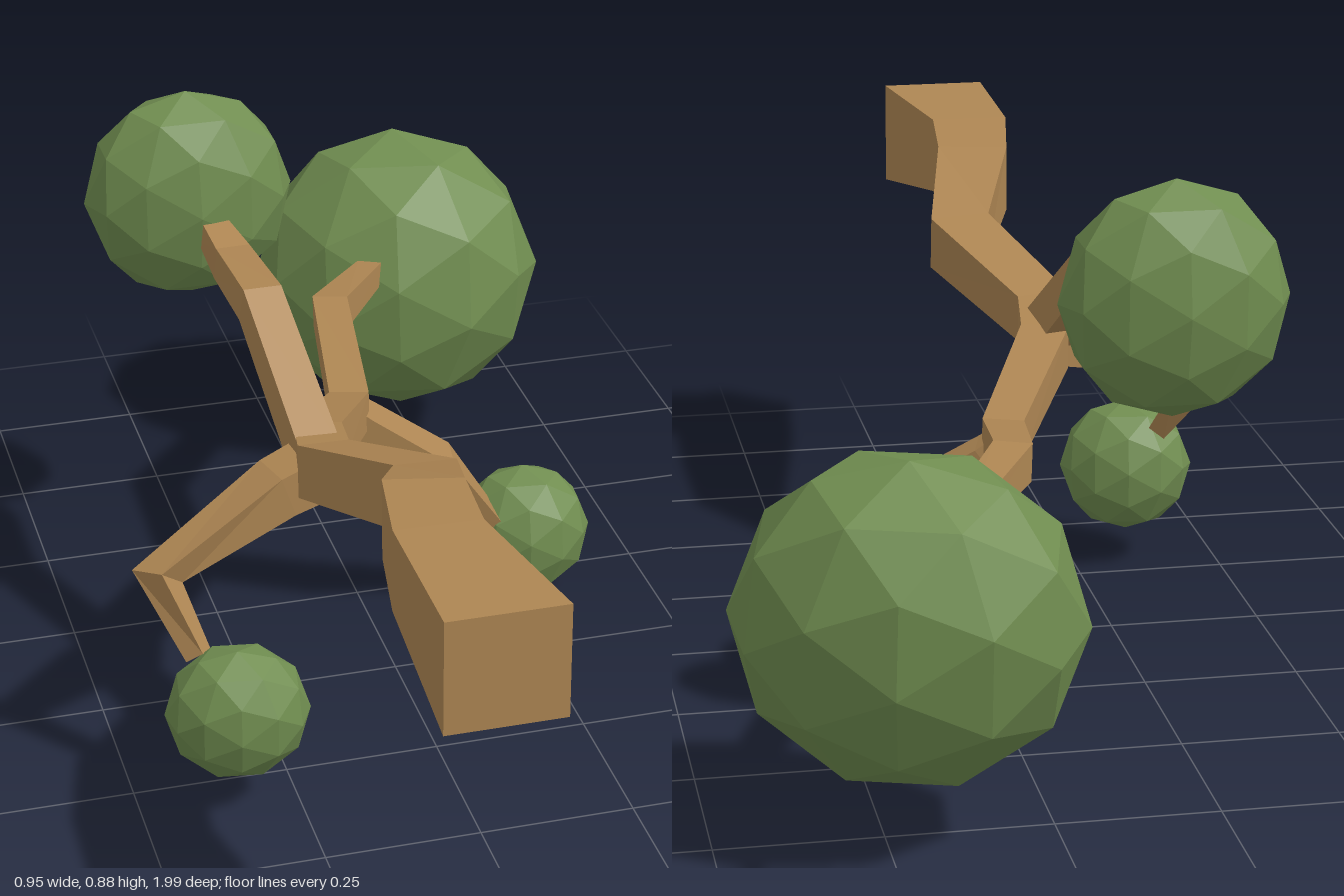
import * as THREE from 'three';

const bark = new THREE.MeshStandardMaterial({ color: 0xae8653, flatShading: true });
const leaf = new THREE.MeshStandardMaterial({ color: 0x708d50, flatShading: true });

// Square-section limb lofted through [x, y, z, width] points
function limb(name, points, firstTangent) {
  const centres = points.map(p => new THREE.Vector3(p[0], p[1], p[2]));
  const top = new THREE.Vector3(0, 1, 0);
  const last = points.length - 1;
  const positions = [], index = [];
  centres.forEach((c, i) => {
    const before = i > 0 ? c.clone().sub(centres[i - 1]).normalize() : new THREE.Vector3();
    const after = i < last ? centres[i + 1].clone().sub(c).normalize() : new THREE.Vector3();
    const t = i === 0 && firstTangent ? firstTangent : before.add(after).normalize();
    // Carry the frame along the limb so it does not twist
    top.addScaledVector(t, -top.dot(t)).normalize();
    const side = t.clone().cross(top);
    const h = points[i][3] / 2;
    for (const [a, b] of [[-1, -1], [1, -1], [1, 1], [-1, 1]]) {
      const v = c.clone().addScaledVector(side, a * h).addScaledVector(top, b * h);
      positions.push(v.x, v.y, v.z);
    }
    if (i === 0) return;
    for (let k = 0; k < 4; k++) {
      const a = (i - 1) * 4 + k, b = (i - 1) * 4 + (k + 1) % 4;
      index.push(a, b + 4, b, a, a + 4, b + 4);
    }
  });
  // End caps
  const e = last * 4;
  index.push(0, 1, 2, 0, 2, 3, e, e + 2, e + 1, e, e + 3, e + 2);
  const geometry = new THREE.BufferGeometry();
  geometry.setAttribute('position', new THREE.Float32BufferAttribute(positions, 3));
  geometry.setIndex(index);
  const flat = geometry.toNonIndexed();
  flat.computeVertexNormals();
  const mesh = new THREE.Mesh(flat, bark);
  mesh.name = name;
  return mesh;
}

// Flattened low-poly leaf clump whose short axis points along `axis`
function clump(name, centre, radii, axis) {
  const mesh = new THREE.Mesh(new THREE.IcosahedronGeometry(1.02, 1), leaf);
  mesh.name = name;
  mesh.position.set(...centre);
  mesh.scale.set(...radii);
  mesh.quaternion.setFromUnitVectors(
    new THREE.Vector3(0, 0, 1), new THREE.Vector3(...axis).normalize());
  return mesh;
}

export function createModel() {
  const group = new THREE.Group();
  group.name = 'treeBranch';

  // Main bough, thick end at the front
  group.add(limb('mainBough', [
    [-0.118, 0.62, 0.993, 0.18],
    [-0.14, 0.637, 0.73, 0.132],
    [-0.12, 0.63, 0.585, 0.12],
    [-0.065, 0.565, 0.41, 0.1],
    [-0.163, 0.495, 0.17, 0.085],
    [-0.145, 0.475, 0.06, 0.078],
    [-0.03, 0.4, -0.18, 0.066],
    [0.005, 0.453, -0.44, 0.06],
    [0.13, 0.42, -0.64, 0.042],
  ], new THREE.Vector3(0, 0, -1)));

  // Side branches
  group.add(limb('upperBranch', [
    [-0.16, 0.475, 0.13, 0.07],
    [-0.195, 0.655, -0.11, 0.064],
    [-0.2, 0.645, -0.29, 0.058],
    [-0.215, 0.67, -0.37, 0.045],
  ]));
  group.add(limb('rightBranch', [
    [-0.15, 0.475, 0.12, 0.08],
    [-0.23, 0.455, 0.14, 0.074],
    [-0.438, 0.358, 0.195, 0.058],
    [-0.392, 0.25, 0.27, 0.032],
  ]));
  group.add(limb('leftBranch', [
    [-0.05, 0.4, -0.19, 0.06],
    [-0.01, 0.365, -0.18, 0.072],
    [0.11, 0.287, -0.14, 0.076],
    [0.215, 0.145, -0.175, 0.048],
  ]));

  // Leaf clumps
  group.add(clump('tipLeaves', [0.22, 0.35, -0.79], [0.253, 0.253, 0.203], [-0.25, 0.22, 1]));
  group.add(clump('upperLeaves', [-0.235, 0.7, -0.46], [0.174, 0.18, 0.112], [0, 0, 1]));
  group.add(clump('leftLeaves', [0.286, 0.113, -0.203], [0.112, 0.113, 0.09], [-0.15, 0.15, 1]));
  group.add(clump('rightLeaves', [-0.343, 0.172, 0.32], [0.112, 0.113, 0.09], [-0.15, -0.1, 1]));

  return group;
}
